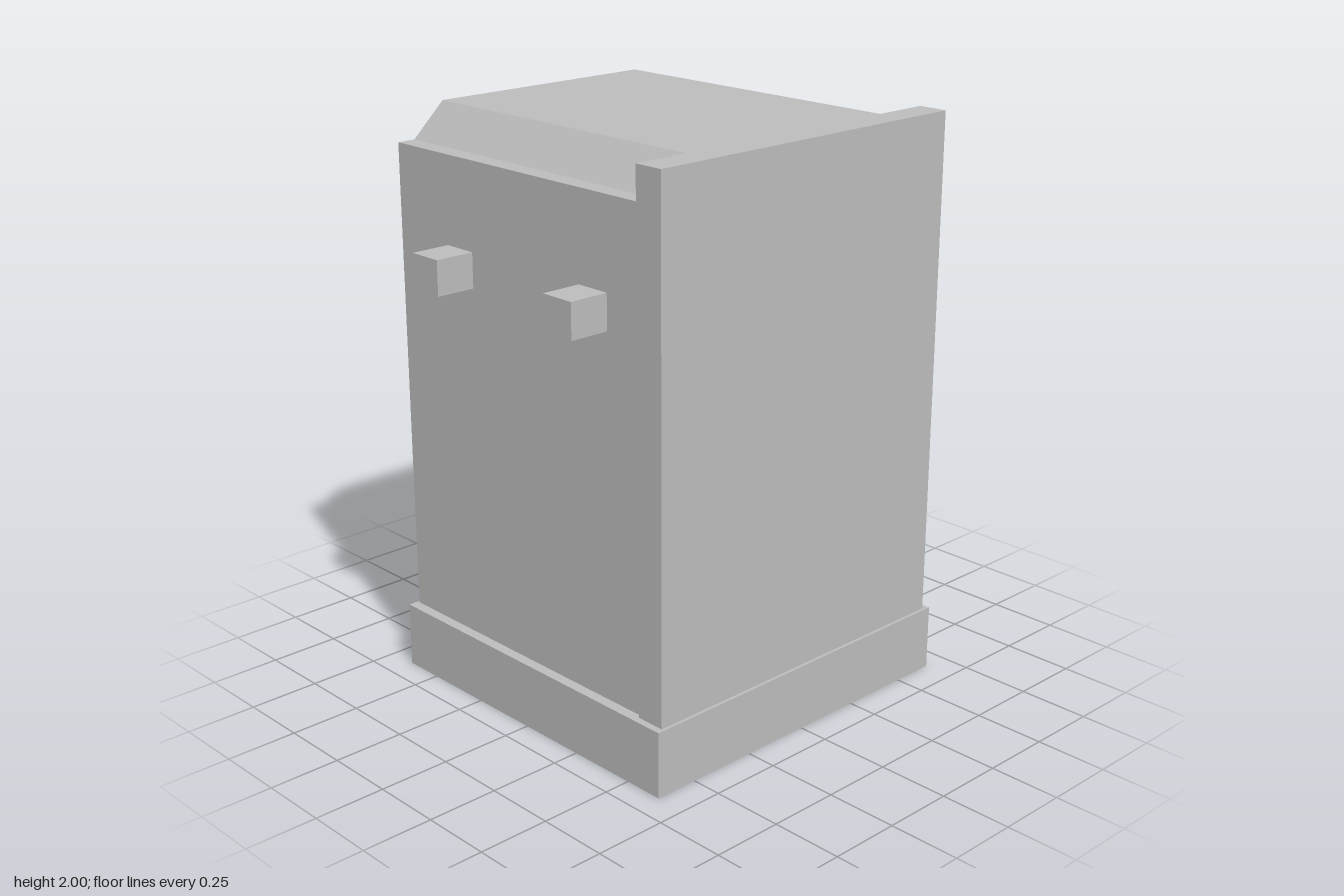
import * as THREE from 'three';

export function createModel() {
  const model = new THREE.Group();
  const grey = new THREE.MeshStandardMaterial({ color: 0xbcbcbc });
  grey.name = 'grey';

  const add = (name, geometry) => {
    const mesh = new THREE.Mesh(geometry, grey);
    mesh.name = name;
    model.add(mesh);
  };
  // Box given by its limits on each axis
  const box = (name, [x0, x1], [y0, y1], [z0, z1]) => {
    const geometry = new THREE.BoxGeometry(x1 - x0, y1 - y0, z1 - z0);
    add(name, geometry.translate((x0 + x1) / 2, (y0 + y1) / 2, (z0 + z1) / 2));
  };

  // Plinth
  box('base', [-0.643, 0.643], [0, 0.23], [-0.657, 0.657]);

  // Cabinet body: side profile with ledges and sloped top edges, extruded along x
  const profile = new THREE.Shape([
    [-0.62, 0.23], [0.62, 0.23], [0.62, 1.885], [0.555, 1.885],
    [0.433, 2], [-0.433, 2], [-0.555, 1.885], [-0.62, 1.885],
  ].map(([z, y]) => new THREE.Vector2(z, y)));
  const body = new THREE.ExtrudeGeometry(profile, { depth: 1.16, bevelEnabled: false });
  body.rotateY(-Math.PI / 2).translate(0.527, 0, 0);
  add('body', body);

  // Full-height panel on the left side
  box('sidePanel', [0.527, 0.632], [0.23, 2], [-0.633, 0.633]);

  // Square pegs on the front and back
  for (const x of [-0.323, 0.32]) {
    box('frontPeg', [x - 0.063, x + 0.063], [1.465, 1.585], [0.61, 0.761]);
    box('backPeg', [x - 0.063, x + 0.063], [1.465, 1.585], [-0.761, -0.61]);
  }
  return model;
}
